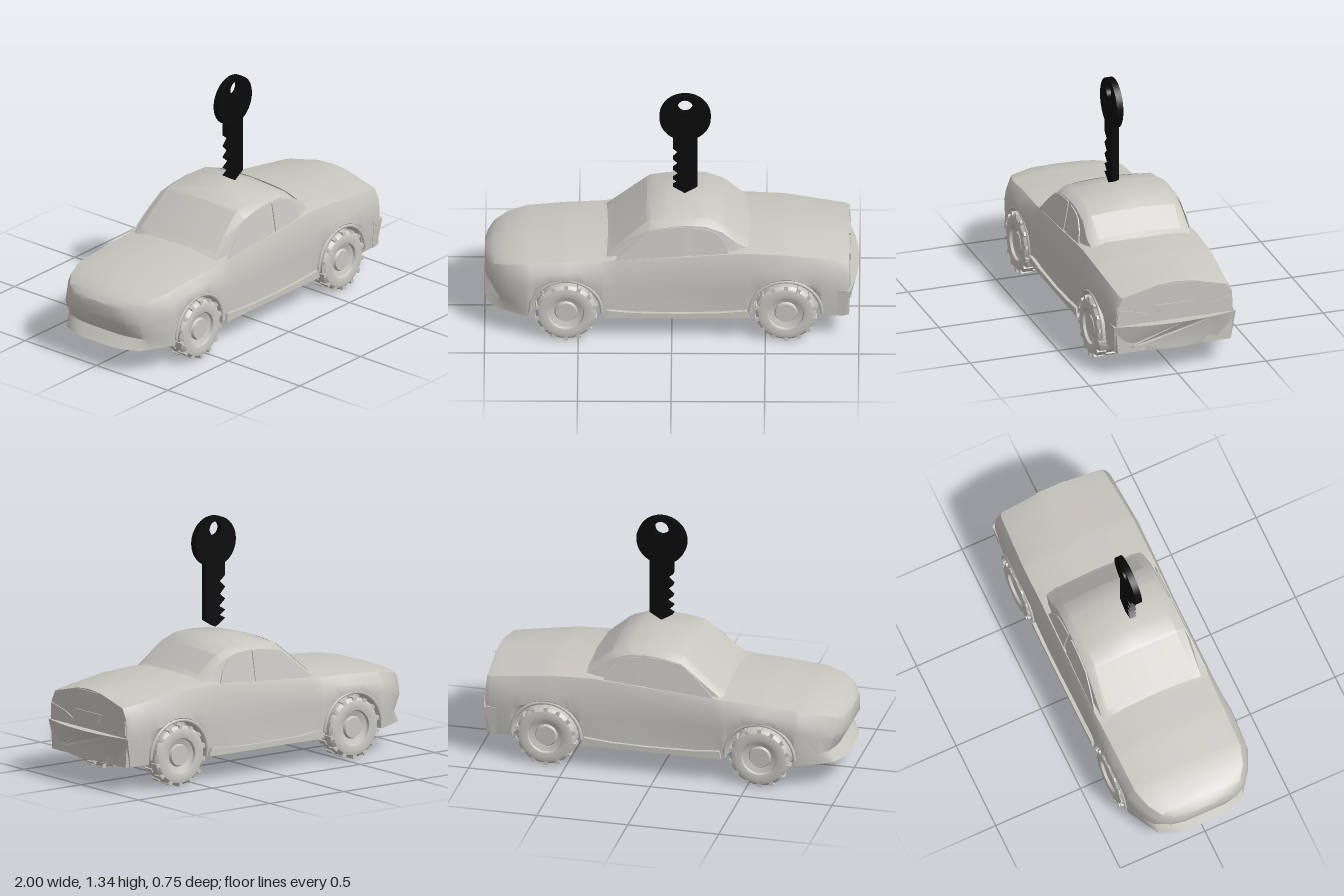
import * as THREE from 'three';
import { toCreasedNormals } from 'three/addons/utils/BufferGeometryUtils.js';

const paint = new THREE.MeshStandardMaterial({ color: 0xc8c6bf, side: THREE.DoubleSide });
paint.name = 'warmGrey';
const black = new THREE.MeshStandardMaterial({ color: 0x0b0b0c });
black.name = 'black';

const WHEELS = [-0.565, 0.61];
const AXLE_Y = 0.17, ARCH_R = 0.19;

function part(name, geometry, material = paint) {
  const mesh = new THREE.Mesh(geometry, material);
  mesh.name = name;
  return mesh;
}

function poly(points) {
  return new THREE.Shape(points.map(([x, y]) => new THREE.Vector2(x, y)));
}

// Linear lookup in a table whose first column is x
function sample(table, x) {
  let i = 0;
  while (i < table.length - 2 && x > table[i + 1][0]) i++;
  const a = table[i], b = table[i + 1];
  const t = THREE.MathUtils.clamp((x - a[0]) / (b[0] - a[0]), 0, 1);
  return a.map((v, k) => v + (b[k] - v) * t);
}

// Skin half sections (points [x, y, z], bottom centre to top centre), mirrored in z
function loft(halves, crease) {
  const pos = [], index = [], m = halves[0].length, n = 2 * m;
  for (const half of halves) {
    for (const [x, y, z] of half) pos.push(x, y, z);
    for (const [x, y, z] of [...half].reverse()) pos.push(x, y, -z);
  }
  for (let s = 0; s < halves.length - 1; s++) {
    for (let i = 0; i < n; i++) {
      const j = (i + 1) % n, a = s * n + i, b = s * n + j;
      index.push(a, a + n, b, b, a + n, b + n);
    }
  }
  const last = (halves.length - 1) * n;
  for (let i = 0; i < m - 1; i++) {
    const p = n - 1 - i;
    index.push(i, i + 1, p, i + 1, p - 1, p);
    index.push(last + i, last + p, last + i + 1, last + i + 1, last + p, last + p - 1);
  }
  const g = new THREE.BufferGeometry();
  g.setAttribute('position', new THREE.Float32BufferAttribute(pos, 3));
  g.setIndex(index);
  return toCreasedNormals(g.toNonIndexed(), crease);
}

// Lower body: x, sill z, flank z/y, waist z/y, shoulder z/y, crease z/y, centre y
const BODY = [
  [-1.0, 0.10, 0.12, 0.29, 0.115, 0.33, 0.10, 0.36, 0.06, 0.375, 0.38],
  [-0.985, 0.17, 0.19, 0.29, 0.18, 0.34, 0.16, 0.375, 0.10, 0.39, 0.40],
  [-0.95, 0.25, 0.26, 0.29, 0.25, 0.35, 0.23, 0.395, 0.15, 0.415, 0.42],
  [-0.88, 0.29, 0.31, 0.30, 0.30, 0.37, 0.28, 0.42, 0.19, 0.44, 0.445],
  [-0.78, 0.345, 0.355, 0.33, 0.345, 0.39, 0.31, 0.44, 0.20, 0.46, 0.465],
  [-0.56, 0.36, 0.362, 0.37, 0.352, 0.41, 0.315, 0.458, 0.19, 0.482, 0.487],
  [-0.36, 0.35, 0.355, 0.33, 0.345, 0.42, 0.32, 0.465, 0.17, 0.488, 0.495],
  [-0.30, 0.345, 0.345, 0.30, 0.345, 0.42, 0.325, 0.475, 0.20, 0.49, 0.495],
  [0.10, 0.35, 0.34, 0.30, 0.345, 0.42, 0.325, 0.50, 0.20, 0.52, 0.525],
  [0.38, 0.345, 0.35, 0.30, 0.35, 0.43, 0.325, 0.52, 0.21, 0.55, 0.555],
  [0.60, 0.345, 0.36, 0.36, 0.355, 0.42, 0.325, 0.51, 0.18, 0.545, 0.547],
  [0.92, 0.325, 0.34, 0.30, 0.335, 0.41, 0.305, 0.465, 0.11, 0.515, 0.52],
  [0.948, 0.32, 0.33, 0.30, 0.325, 0.40, 0.295, 0.46, 0.10, 0.51, 0.518],
];

function bodyGeometry() {
  const xs = BODY.map((r) => r[0]);
  for (const c of WHEELS) {
    for (const d of [0.191, 0.19, 0.178, 0.155, 0.12, 0.075, 0.03]) xs.push(c - d, c + d);
  }
  xs.sort((a, b) => a - b);
  return loft(xs.map((x) => {
    const [, zb, zm, ym, zw, yw, zs, ys, zc, yc, yt] = sample(BODY, x);
    // The lower edge lifts over each wheel, the floor stays flat
    let ya = 0.14;
    for (const c of WHEELS) {
      const d = Math.abs(x - c);
      if (d < 0.1905) ya = AXLE_Y + Math.sqrt(Math.max(0, ARCH_R ** 2 - d * d));
    }
    const zi = Math.min(0.24, zb * 0.9), yf = Math.max(ym, ya + 0.015);
    const bite = 0.05 * THREE.MathUtils.clamp((-0.85 - x) / 0.15, 0, 1);
    return [[x, 0.14, 0], [x, 0.14, zi], [x, ya, zi], [x, ya, zb],
      [x + bite, ya + (yf - ya) * 0.4, (zb + zm) / 2], [x, yf, zm],
      [x, yw, zw], [x, ys, zs], [x, yc, zc], [x, yt, 0]];
  }), 0.6);
}

// Cabin: x, base z, edge z/y, roof z/y, centre y
const CABIN = [
  [-0.36, 0.30, 0.28, 0.465, 0.20, 0.475, 0.48],
  [-0.12, 0.325, 0.288, 0.64, 0.24, 0.675, 0.688],
  [-0.02, 0.325, 0.286, 0.66, 0.24, 0.69, 0.705],
  [0.08, 0.325, 0.284, 0.668, 0.24, 0.696, 0.712],
  [0.18, 0.32, 0.282, 0.66, 0.24, 0.69, 0.703],
  [0.27, 0.318, 0.28, 0.625, 0.24, 0.657, 0.672],
  [0.35, 0.315, 0.285, 0.56, 0.23, 0.59, 0.60],
  [0.42, 0.30, 0.28, 0.52, 0.22, 0.54, 0.55],
];

// Glass following the slope between two [x, y, halfWidth] edges, curved across the car
function glassGeometry(low, high, lift) {
  const g = new THREE.PlaneGeometry(1, 1, 10, 1), p = g.attributes.position;
  for (let i = 0; i < p.count; i++) {
    const t = p.getY(i) + 0.5, u = p.getX(i) * 2, [x, y, w] = low.map((v, k) => v + (high[k] - v) * t);
    p.setXYZ(i, x, y + lift - 0.014 * u * u, w * u);
  }
  g.computeVertexNormals();
  return g;
}

// Thin side pane leaning inward with the cabin
function sidePane(points) {
  const g = new THREE.ExtrudeGeometry(poly(points), { depth: 0.006, bevelEnabled: false });
  const p = g.attributes.position;
  for (let i = 0; i < p.count; i++) p.setZ(i, p.getZ(i) + 0.323 - (p.getY(i) - 0.45) * 0.178);
  g.computeVertexNormals();
  return g;
}

// Plate on the tail, drawn in (z, y)
function tailPlate(name, points, x = 0.946) {
  const g = new THREE.ExtrudeGeometry(poly(points.map(([z, y]) => [-z, y])), { depth: 0.008, bevelEnabled: false });
  g.rotateY(Math.PI / 2).translate(x, 0, 0);
  return part(name, g);
}

// Rear bumper with two exhaust notches, bowed outward in plan
function bumperGeometry() {
  const bottom = [[-0.33, 0.14], [-0.25, 0.14], [-0.225, 0.18], [-0.175, 0.18], [-0.15, 0.14], [-0.05, 0.14]];
  const top = [[0.345, 0.30], [0.22, 0.30], [0.13, 0.30], [0.04, 0.30]];
  const mirror = (list) => [...list, ...[...list].reverse().map(([z, y]) => [-z, y])];
  const g = new THREE.ExtrudeGeometry(poly([...mirror(bottom), ...mirror(top)]), { depth: 0.07, bevelEnabled: false });
  g.rotateY(Math.PI / 2);
  const p = g.attributes.position;
  for (let i = 0; i < p.count; i++) {
    const u = p.getZ(i) / 0.34, lean = 0.035 * (0.30 - p.getY(i)) / 0.16;
    p.setX(i, p.getX(i) + 0.93 - 0.045 * u * u - (p.getX(i) > 0.03 ? lean : 0));
  }
  return toCreasedNormals(g, 0.5);
}

function wheel() {
  const group = new THREE.Group();
  const profile = [[0.001, -0.05], [0.10, -0.06], [0.145, -0.06], [0.16, -0.045], [0.163, 0.04],
    [0.148, 0.056], [0.125, 0.062], [0.097, 0.056], [0.092, 0.042], [0.062, 0.032], [0.055, 0.046], [0.001, 0.046]];
  const tyre = new THREE.LatheGeometry(profile.map(([r, y]) => new THREE.Vector2(r, y)), 28);
  group.add(part('tyreAndRim', toCreasedNormals(tyre.toNonIndexed().rotateX(Math.PI / 2), 0.5)));
  // Staggered tread blocks on both shoulders
  for (let i = 0; i < 28; i++) {
    const a = (i / 28) * Math.PI * 2, lug = part('treadLug', new THREE.BoxGeometry(0.022, 0.022, 0.052));
    lug.position.set(Math.cos(a) * 0.157, Math.sin(a) * 0.157, i % 2 ? 0.03 : -0.03);
    lug.rotation.z = a;
    group.add(lug);
  }
  return group;
}

function keyGeometry() {
  const s = poly([[0.005, 1.085], [0.005, 1.015], [0.04, 0.985], [0.005, 0.95], [0.04, 0.915], [0.005, 0.885],
    [0.045, 0.85], [0.005, 0.825], [0.04, 0.80], [0.005, 0.78], [0.068, 0.74], [0.135, 0.78], [0.135, 1.085]]);
  s.absarc(0.07, 1.205, 0.137, -1.08, Math.PI + 1.08, false);
  s.holes.push(new THREE.Path().absarc(0.07, 1.275, 0.04, 0, Math.PI * 2, true));
  return new THREE.ExtrudeGeometry(s, { depth: 0.036, bevelEnabled: false, curveSegments: 32 }).translate(0, 0, 0.028);
}

export function createModel() {
  const model = new THREE.Group();
  model.name = 'carWithKey';
  model.add(part('lowerBody', bodyGeometry()));
  model.add(part('cabin', loft(CABIN.map(([x, zb, ze, ye, zr, yr, yt]) =>
    [[x, 0.45, 0], [x, 0.45, zb], [x, ye, ze], [x, yr, zr], [x, yt, 0]]), 0.6)));
  model.add(part('windscreen', glassGeometry([-0.325, 0.511, 0.26], [-0.135, 0.675, 0.235], 0.006)));
  model.add(part('rearWindow', glassGeometry([0.39, 0.571, 0.23], [0.28, 0.663, 0.235], 0.006)));
  model.add(part('rearBumper', bumperGeometry()));

  for (const side of [1, -1]) {
    const half = new THREE.Group();
    half.name = side > 0 ? 'leftSide' : 'rightSide';
    half.scale.z = side;
    half.add(part('doorWindow', sidePane([[-0.31, 0.468], [0.068, 0.468], [0.068, 0.66], [-0.03, 0.655], [-0.12, 0.638], [-0.2, 0.575]])));
    half.add(part('quarterWindow', sidePane([[0.105, 0.468], [0.27, 0.455], [0.30, 0.475], [0.305, 0.51], [0.28, 0.58], [0.235, 0.63], [0.18, 0.65], [0.105, 0.658]])));
    // Side skirt
    const skirt = poly([[-0.355, 0.14], [0.415, 0.14], [0.40, 0.185], [0.25, 0.172], [0.05, 0.168], [-0.2, 0.172], [-0.345, 0.185]]);
    half.add(part('sideSkirt', new THREE.ExtrudeGeometry(skirt, { depth: 0.03, bevelEnabled: false }).translate(0, 0, 0.335)));
    for (const x of WHEELS) {
      const w = wheel();
      w.name = x < 0 ? 'frontWheel' : 'rearWheel';
      w.position.set(x, AXLE_Y, 0.311);
      half.add(w);
      const arch = part('wheelArch', new THREE.TorusGeometry(0.192, 0.01, 6, 24, Math.PI));
      arch.position.set(x, AXLE_Y, 0.352);
      half.add(arch);
    }
    half.add(tailPlate('tailLight', [[0.325, 0.315], [0.21, 0.31], [0.15, 0.325], [0.14, 0.34], [0.19, 0.365], [0.32, 0.395]]));
    model.add(half);
  }
  model.add(tailPlate('numberPlate', [[-0.08, 0.335], [0.08, 0.335], [0.11, 0.395], [-0.11, 0.395]]));
  model.add(tailPlate('tailgateHandle', [[-0.07, 0.485], [0.07, 0.485], [0.085, 0.508], [-0.085, 0.508]]));
  model.add(part('key', keyGeometry(), black));
  return model;
}
